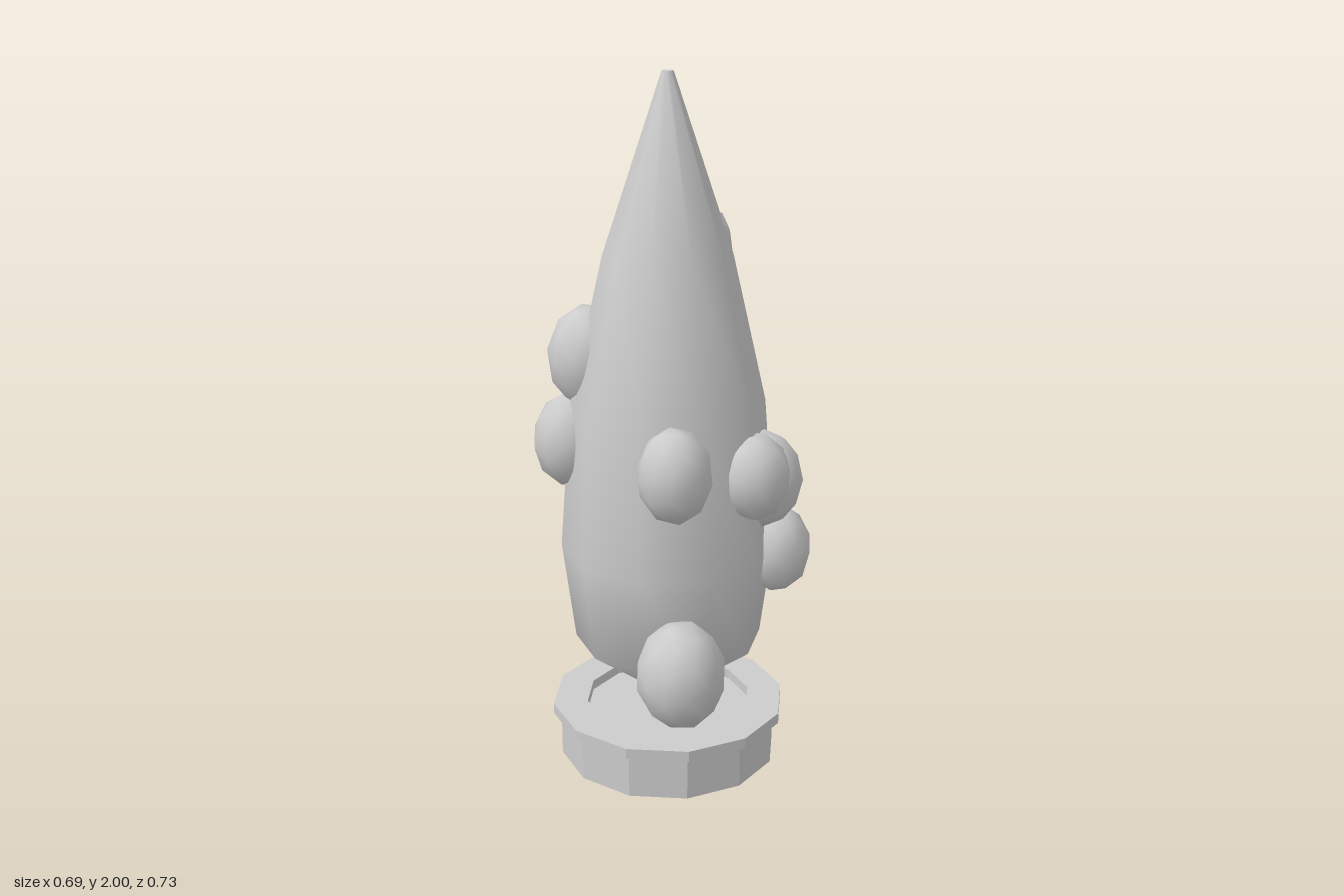
import * as THREE from 'three';

const AXIS_Z = -0.02; // trunk axis, offset by the front-heavy leaf clumps

// Revolve a profile (from bottom to top) with a vertex on the +x axis
function lathe(points, sides) {
  return new THREE.LatheGeometry(points.map(([r, y]) => new THREE.Vector2(r, y)), sides, Math.PI / 2);
}

// Give every face its own normal
function faceted(geometry) {
  const flat = geometry.toNonIndexed();
  flat.computeVertexNormals();
  return flat;
}

export function createModel() {
  const group = new THREE.Group();
  const grey = new THREE.MeshStandardMaterial({ color: 0xcccccc });
  grey.name = 'plain grey';

  function add(name, geometry, x = 0, y = 0, z = AXIS_Z) {
    const mesh = new THREE.Mesh(geometry, grey);
    mesh.name = name;
    mesh.position.set(x, y, z);
    group.add(mesh);
    return mesh;
  }

  // Twelve-sided pot with a projecting rim and sunken soil
  add('pot', faceted(lathe([
    [0, 0], [0.32, 0], [0.32, 0.132], [0.343, 0.132],
    [0.343, 0.164], [0.242, 0.164],
  ], 12)));
  add('soil', faceted(lathe([[0.242, 0.164], [0.242, 0.135], [0, 0.135]], 12)));

  // Short trunk
  add('trunk', faceted(new THREE.CylinderGeometry(0.035, 0.046, 0.14, 8)), 0, 0.195);

  // Tall tapered crown, smooth around ten sides, closed at both ends
  add('crown', lathe([
    [0.108, 0.245], [0.27, 0.37], [0.307, 0.66],
    [0.275, 1.085], [0.18, 1.505], [0.016, 2],
  ], 10));
  const base = add('crownBase', new THREE.CircleGeometry(0.108, 10), 0, 0.245);
  base.rotation.x = Math.PI / 2;
  const tip = add('crownTip', new THREE.CircleGeometry(0.016, 10), 0, 2);
  tip.rotation.x = -Math.PI / 2;

  // Leaf clumps: x, y, z, radius, half height
  const clumps = [
    [-0.17, 0.39, 0.24, 0.127, 0.158],
    [-0.166, 0.968, 0.208, 0.103, 0.136],
    [0.09, 0.915, 0.238, 0.108, 0.128],
    [0.148, 0.888, 0.217, 0.112, 0.14],
    [0.214, 0.657, 0.208, 0.1, 0.13],
    [0.167, 1.507, -0.076, 0.09, 0.108],
    [-0.142, 1.205, -0.19, 0.122, 0.152],
    [-0.197, 0.965, -0.212, 0.11, 0.14],
  ];
  // Turn the ball so that a vertex sits at each pole
  const ball = new THREE.IcosahedronGeometry(1, 1).rotateX(Math.atan(2 / (1 + Math.sqrt(5))));
  clumps.forEach(([x, y, z, r, h], i) => {
    const clump = add('leafClump' + (i + 1), ball, x, y, z);
    clump.scale.set(r, h, r);
    clump.rotation.y = i * 1.3;
  });

  return group;
}
